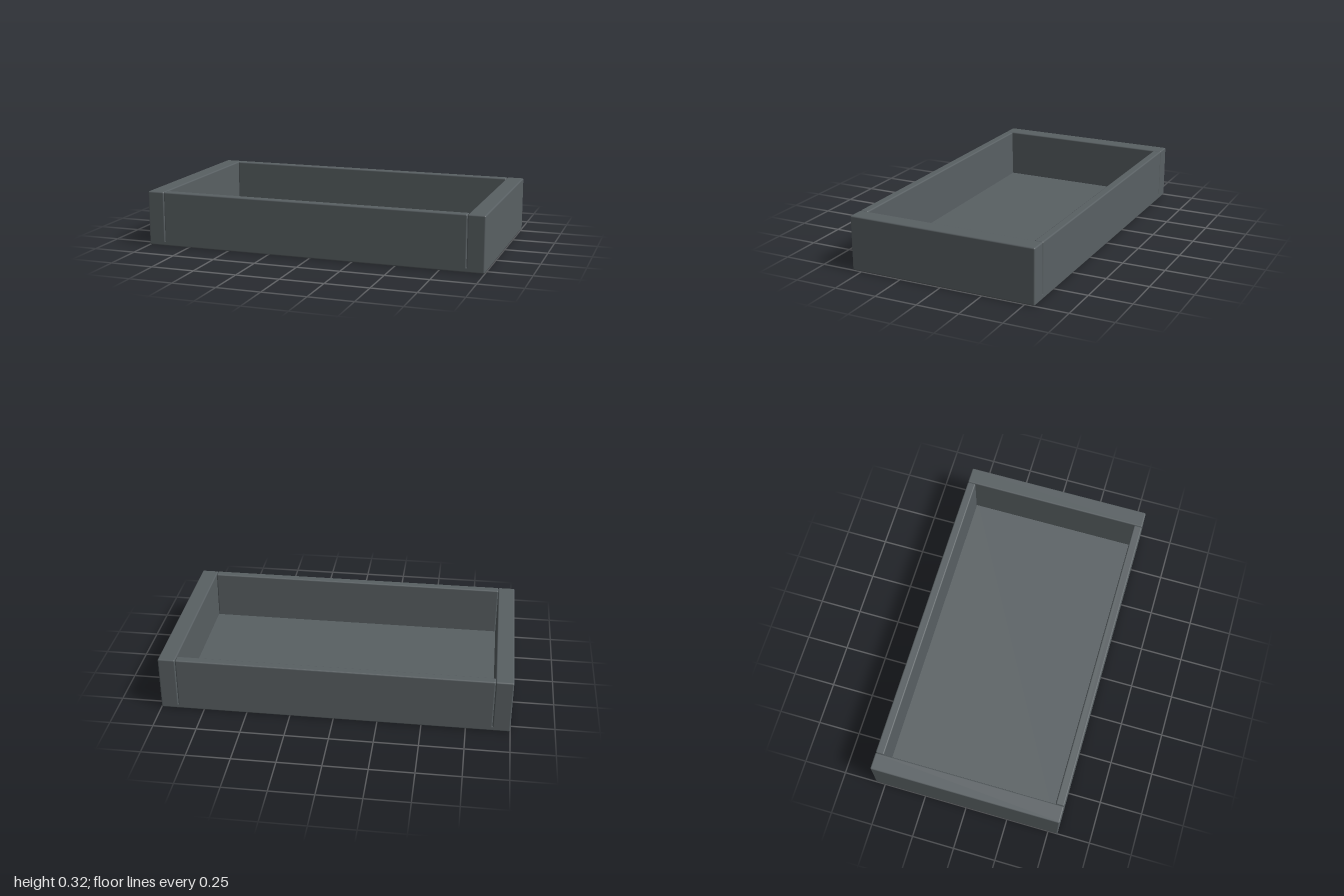
import * as THREE from 'three';
import { RoundedBoxGeometry } from 'three/addons/geometries/RoundedBoxGeometry.js';

const LENGTH = 2, DEPTH = 1.114, HEIGHT = 0.32;
const FLOOR = 0.03, END = 0.1, SIDE = 0.05, BEVEL = 0.008;

export function createModel() {
  const tray = new THREE.Group();
  tray.name = 'tray';
  const slate = new THREE.MeshStandardMaterial({ color: 0x596063 });
  slate.name = 'slate grey';

  // A softly bevelled board between two heights
  function board(name, w, d, y0, y1, x, z) {
    const mesh = new THREE.Mesh(new RoundedBoxGeometry(w, y1 - y0, d, 2, BEVEL), slate);
    mesh.name = name;
    mesh.position.set(x, (y0 + y1) / 2, z);
    tray.add(mesh);
  }

  // Floor slab under the whole tray
  board('floor', LENGTH, DEPTH, 0, FLOOR, 0, 0);

  // Walls sink into the floor so only their upper bevels and seams show
  for (const s of [1, -1]) {
    board(s > 0 ? 'leftEndWall' : 'rightEndWall', END, DEPTH, BEVEL, HEIGHT, s * (LENGTH - END) / 2, 0);
    board(s > 0 ? 'frontWall' : 'backWall', LENGTH - 2 * END, SIDE, BEVEL, HEIGHT, 0, s * (DEPTH - SIDE) / 2);
  }
  return tray;
}
